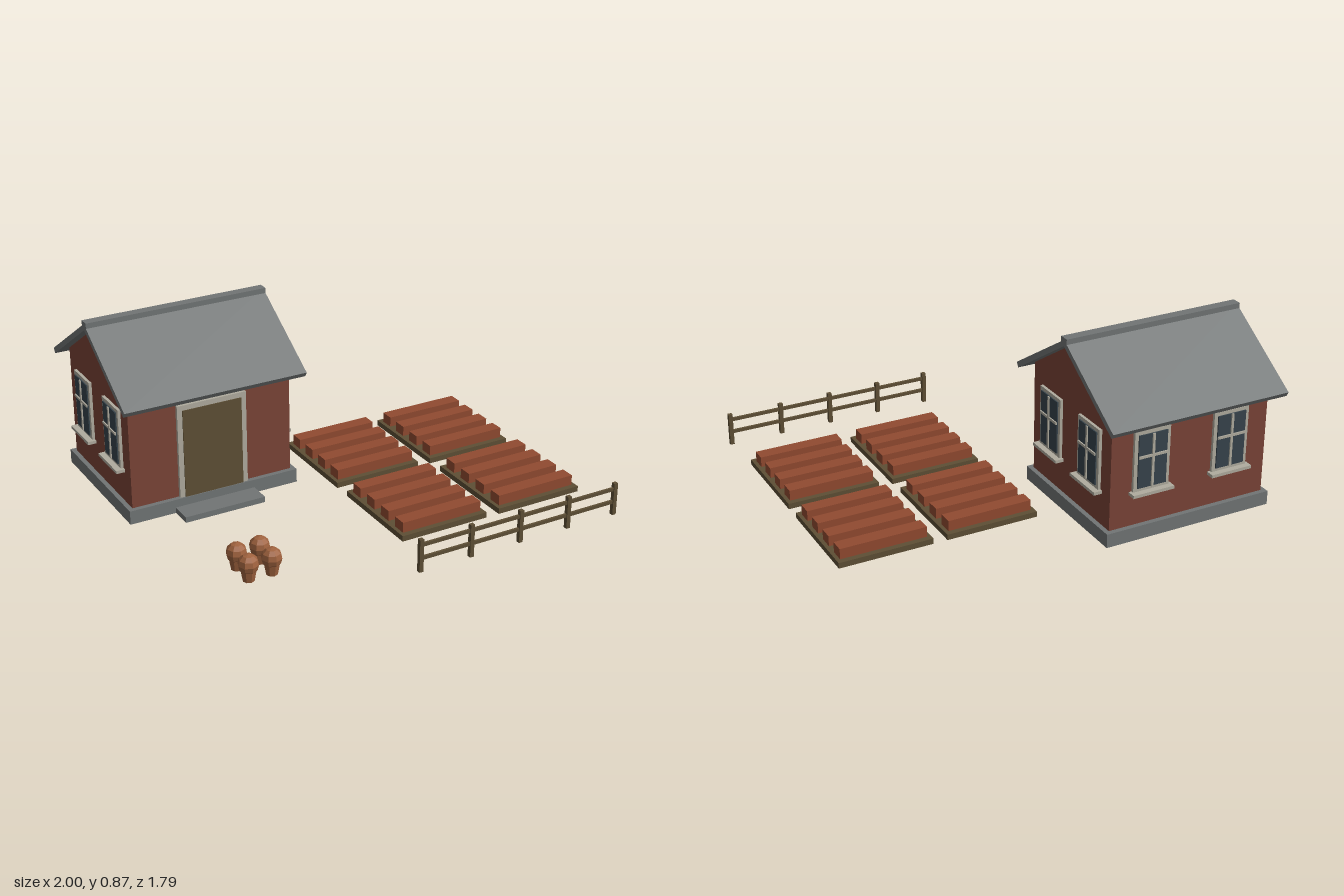
import * as THREE from 'three';

const mat = (name, color) => {
  const m = new THREE.MeshStandardMaterial({ color });
  m.name = name;
  return m;
};

export function createModel() {
  const brick = mat('brick red', 0x7a4437);
  const grey = mat('slate grey', 0x717575);
  const trim = mat('pale trim', 0xb0ac9f);
  const glass = mat('dark glass', 0x37444c);
  const wood = mat('brown wood', 0x5e4f35);
  const crop = mat('rusty crop', 0x914a30);
  const clay = mat('clay', 0x9f623e);
  clay.flatShading = true;

  const model = new THREE.Group();
  model.name = 'cottageGarden';

  const group = (name, parent = model) => {
    const g = new THREE.Group();
    g.name = name;
    parent.add(g);
    return g;
  };
  const add = (parent, name, geo, material, x = 0, y = 0, z = 0) => {
    const m = new THREE.Mesh(geo, material);
    m.name = name;
    m.position.set(x, y, z);
    parent.add(m);
    return m;
  };
  // box given by its lower and upper bounds
  const box = (parent, name, material, x0, x1, y0, y1, z0, z1) =>
    add(parent, name, new THREE.BoxGeometry(x1 - x0, y1 - y0, z1 - z0), material,
      (x0 + x1) / 2, (y0 + y1) / 2, (z0 + z1) / 2);
  // profile in (depth, height) extruded along x
  const alongX = (points, length) =>
    new THREE.ExtrudeGeometry(new THREE.Shape(points.map(p => new THREE.Vector2(...p))),
      { depth: length, bevelEnabled: false }).translate(0, 0, -length / 2).rotateY(Math.PI / 2);

  // House, local origin at the middle of its floor plan
  const house = group('house');
  house.position.set(-0.547, 0, -0.471);
  const hw = 0.405, hd = 0.339;
  box(house, 'foundation', grey, -0.428, 0.428, 0, 0.067, -0.363, 0.363);
  box(house, 'doorStep', grey, -0.202, 0.202, 0, 0.028, 0.363, 0.471);
  add(house, 'walls', alongX(
    [[-hd, 0.067], [hd, 0.067], [hd, 0.608], [0, 0.828], [-hd, 0.608]], hw * 2), brick);
  add(house, 'roof', alongX(
    [[0.41, 0.562], [0.424, 0.585], [0, 0.857], [-0.424, 0.585], [-0.41, 0.562], [0, 0.827]], 0.905), grey);
  box(house, 'ridgeCap', grey, -0.4525, 0.4525, 0.838, 0.867, -0.024, 0.024);

  // Door
  box(house, 'doorFrame', trim, -0.173, 0.173, 0.067, 0.527, hd, hd + 0.016);
  box(house, 'door', wood, -0.148, 0.148, 0.067, 0.502, hd + 0.016, hd + 0.02);

  // Windows, built facing +z with the wall at z = 0
  const addWindow = (x, z, turn) => {
    const w = group('window', house);
    w.position.set(x, 0, z);
    w.rotation.y = turn;
    box(w, 'windowFrame', trim, -0.091, 0.091, 0.237, 0.527, 0, 0.014);
    box(w, 'windowGlass', glass, -0.073, 0.073, 0.253, 0.51, 0.014, 0.02);
    box(w, 'windowMullion', trim, -0.006, 0.006, 0.253, 0.51, 0.02, 0.026);
    box(w, 'windowCrossbar', trim, -0.073, 0.073, 0.399, 0.411, 0.02, 0.026);
    box(w, 'windowSill', trim, -0.105, 0.105, 0.222, 0.237, 0, 0.042);
  };
  for (const s of [-1, 1]) {
    addWindow(hw, s * 0.169, Math.PI / 2);
    addWindow(-hw, s * 0.169, -Math.PI / 2);
    addWindow(s * 0.205, -hd, Math.PI);
  }

  // Garden beds with four planted rows each
  for (const x of [0.241, 0.759]) {
    for (const z of [-0.202, 0.383]) {
      const bed = group('gardenBed');
      bed.position.set(x, 0, z);
      box(bed, 'bedBase', wood, -0.225, 0.225, 0, 0.027, -0.247, 0.247);
      for (let i = 0; i < 4; i++) {
        const c = (i - 1.5) * 0.124;
        box(bed, 'cropRow', crop, -0.207, 0.207, 0.027, 0.077, c - 0.034, c + 0.034);
      }
    }
  }

  // Fence
  const fence = group('fence');
  fence.position.z = 0.885;
  for (let i = 0; i < 5; i++) {
    const x = -0.053 + i * 0.2608;
    box(fence, 'fencePost', wood, x - 0.01, x + 0.01, 0, 0.16, -0.01, 0.01);
  }
  for (const y of [0.065, 0.13])
    box(fence, 'fenceRail', wood, -0.053, 0.99, y - 0.008, y + 0.008, -0.006, 0.006);

  // Potted round shrubs
  const potGeo = new THREE.CylinderGeometry(0.038, 0.027, 0.06, 8);
  const shrubGeo = new THREE.SphereGeometry(0.048, 8, 6);
  for (const x of [-0.729, -0.617]) {
    for (const z of [0.474, 0.586]) {
      const plant = group('pottedShrub');
      plant.position.set(x, 0, z);
      add(plant, 'pot', potGeo, clay, 0, 0.03, 0);
      add(plant, 'shrub', shrubGeo, clay, 0, 0.08, 0);
    }
  }
  return model;
}
